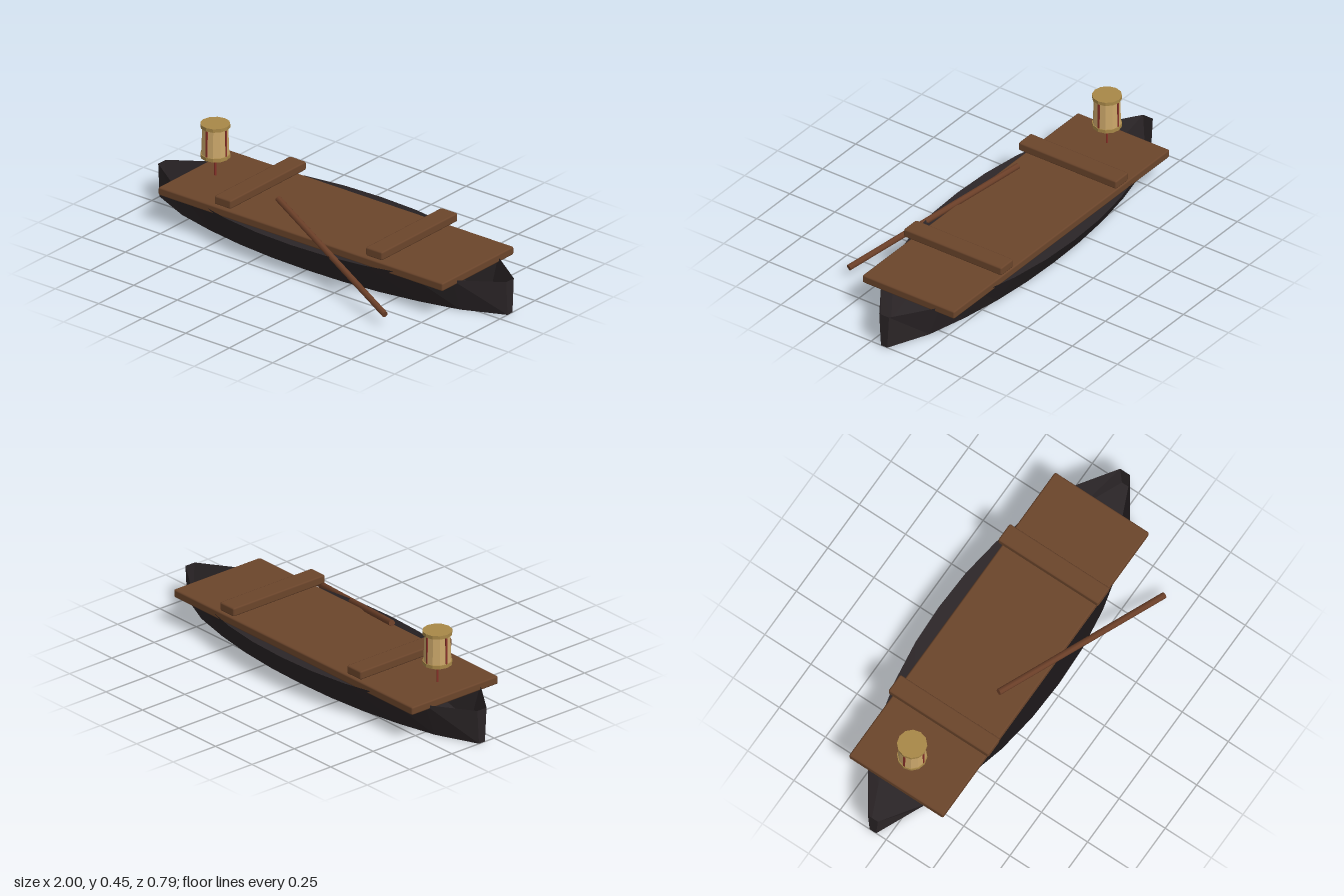
import * as THREE from 'three';
import { RoundedBoxGeometry } from 'three/addons/geometries/RoundedBoxGeometry.js';

const MID = -0.072; // z of the boat's centre line

function material(name, color, extra = {}) {
  const m = new THREE.MeshStandardMaterial({ color, ...extra });
  m.name = name;
  return m;
}

// Open hull: flared walls, flat floor and narrow square ends
function hullGeometry() {
  const half = [0.027, 0.163, 0.238, 0.289, 0.317, 0.325];
  const width = (i) => half[5 - Math.abs(i - 5)];
  const ring = [];
  for (let i = 0; i <= 10; i++) {
    const x = -1 + i * 0.2, w = width(i), b = w * 0.65;
    ring.push([[x, 0.165, MID + w], [x, 0, MID + b], [x, 0, MID - b], [x, 0.165, MID - w]]);
  }
  const pos = [];
  const quad = (a, b, c, d) => pos.push(...a, ...b, ...c, ...a, ...c, ...d);
  for (let i = 0; i < 10; i++) {
    const p = ring[i], q = ring[i + 1];
    for (let k = 0; k < 3; k++) quad(p[k], p[k + 1], q[k + 1], q[k]);
  }
  quad(ring[0][0], ring[0][3], ring[0][2], ring[0][1]);
  quad(...ring[10]);
  const g = new THREE.BufferGeometry();
  g.setAttribute('position', new THREE.Float32BufferAttribute(pos, 3));
  g.computeVertexNormals();
  return g;
}

export function createModel() {
  const boat = new THREE.Group();
  boat.name = 'rowingBoat';
  const hullPaint = material('dark hull', 0x2b2527, { side: THREE.DoubleSide, flatShading: true });
  const wood = material('brown wood', 0x6b452b);
  const oarWood = material('oar wood', 0x6b3f28);
  const paper = material('lantern paper', 0xcba76a, { flatShading: true });
  const brass = material('lantern cap', 0xa88848, { flatShading: true });
  const red = material('red trim', 0x8a3229);

  const add = (name, geo, mat, x, y, z, parent = boat) => {
    const mesh = new THREE.Mesh(geo, mat);
    mesh.name = name;
    mesh.position.set(x, y, z);
    parent.add(mesh);
    return mesh;
  };

  add('hull', hullGeometry(), hullPaint, 0, 0, 0);

  // Deck and two raised benches
  add('deck', new RoundedBoxGeometry(1.635, 0.04, 0.51, 1, 0.008), wood, 0, 0.166, MID);
  for (const s of [-1, 1]) {
    add(s < 0 ? 'rightBench' : 'leftBench',
      new RoundedBoxGeometry(0.095, 0.042, 0.542, 1, 0.008), wood, s * 0.435, 0.227, MID);
  }

  // Oar slung over the front side
  const from = new THREE.Vector3(-0.215, 0.265, 0.073);
  const to = new THREE.Vector3(0.647, 0.057, 0.382);
  const dir = to.clone().sub(from);
  const middle = from.clone().add(to).multiplyScalar(0.5);
  const oar = add('oar', new THREE.CylinderGeometry(0.015, 0.015, dir.length(), 8), oarWood, ...middle);
  oar.quaternion.setFromUnitVectors(new THREE.Vector3(0, 1, 0), dir.normalize());

  // Lantern with four red ribs above a thin stem
  const lantern = new THREE.Group();
  lantern.name = 'lantern';
  lantern.position.set(-0.692, 0, MID + 0.002);
  boat.add(lantern);
  add('stem', new THREE.CylinderGeometry(0.005, 0.005, 0.09, 6), red, 0, 0.235, 0, lantern);
  add('lanternBody', new THREE.CylinderGeometry(0.059, 0.064, 0.13, 12), paper, 0, 0.365, 0, lantern);
  for (const y of [0.2915, 0.4385]) {
    add('lanternCap', new THREE.CylinderGeometry(0.068, 0.068, 0.017, 12), brass, 0, y, 0, lantern);
  }
  for (let i = 0; i < 4; i++) {
    const a = i * Math.PI / 2;
    const rib = add('rib', new THREE.BoxGeometry(0.009, 0.13, 0.007), red,
      Math.sin(a) * 0.061, 0.365, Math.cos(a) * 0.061, lantern);
    rib.rotation.y = a;
  }
  return boat;
}
